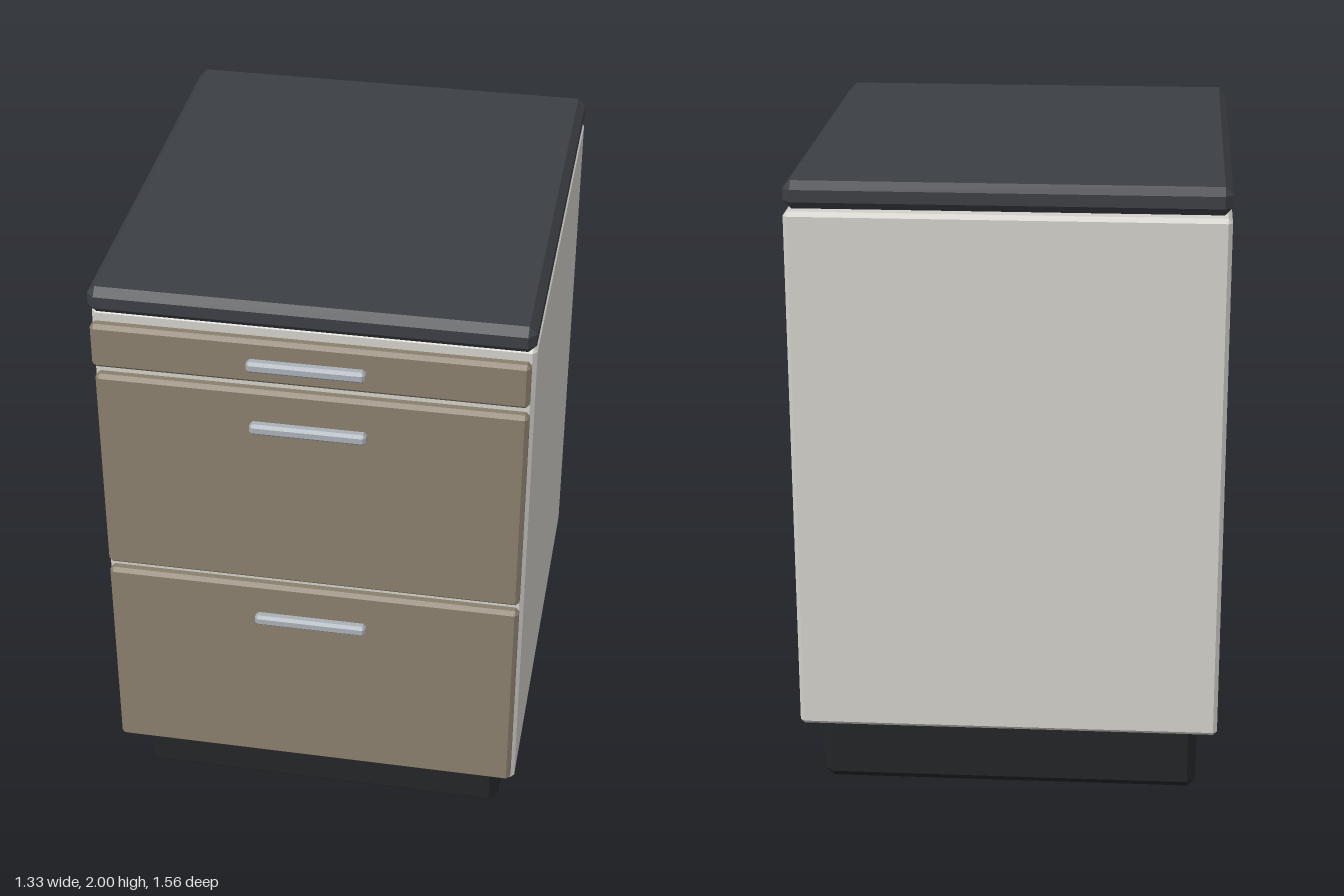
import * as THREE from 'three';
import { ConvexGeometry } from 'three/addons/geometries/ConvexGeometry.js';

const paint = (color) => new THREE.MeshStandardMaterial({ color });

// Box with every edge cut by a flat chamfer c, given by its min/max extents.
function chamferBox(name, [x0, x1], [y0, y1], [z0, z1], c, material) {
  const hx = (x1 - x0) / 2, hy = (y1 - y0) / 2, hz = (z1 - z0) / 2;
  const points = [];
  for (const i of [-1, 1]) for (const j of [-1, 1]) for (const k of [-1, 1]) {
    points.push(
      new THREE.Vector3(i * hx, j * (hy - c), k * (hz - c)),
      new THREE.Vector3(i * (hx - c), j * hy, k * (hz - c)),
      new THREE.Vector3(i * (hx - c), j * (hy - c), k * hz)
    );
  }
  const mesh = new THREE.Mesh(new ConvexGeometry(points), material);
  mesh.name = name;
  mesh.position.set((x0 + x1) / 2, (y0 + y1) / 2, (z0 + z1) / 2);
  return mesh;
}

export function createModel() {
  const model = new THREE.Group();
  model.name = 'drawerCabinet';
  const dark = paint(0x3c3f44), black = paint(0x232527), white = paint(0xd3d1cb);
  const wood = paint(0x8a7f6d), metal = paint(0xa9b1b8);

  // Recessed plinth, carcass and worktop
  model.add(
    chamferBox('plinth', [-0.6, 0.6], [0, 0.228], [-0.712, 0.574], 0.027, black),
    chamferBox('carcass', [-0.663, 0.663], [0.228, 1.908], [-0.78, 0.684], 0.013, white),
    chamferBox('worktop', [-0.663, 0.663], [1.915, 2], [-0.78, 0.73], 0.024, dark)
  );

  // Drawers: bottom, top, back of the front panel, handle height
  const drawers = [
    ['bottomDrawer', 0.262, 0.968, 0.686, 0.849],
    ['middleDrawer', 0.992, 1.702, 0.686, 1.582],
    ['topDrawer', 1.741, 1.889, 0.705, 1.815],
  ];
  for (const [name, y0, y1, z, handleY] of drawers) {
    const drawer = new THREE.Group();
    drawer.name = name;
    drawer.add(
      chamferBox('drawerFront', [-0.653, 0.653], [y0, y1], [z, z + 0.043], 0.012, wood),
      chamferBox('handle', [-0.177, 0.177], [handleY - 0.018, handleY + 0.018], [z + 0.043, z + 0.078], 0.009, metal)
    );
    model.add(drawer);
  }
  return model;
}
